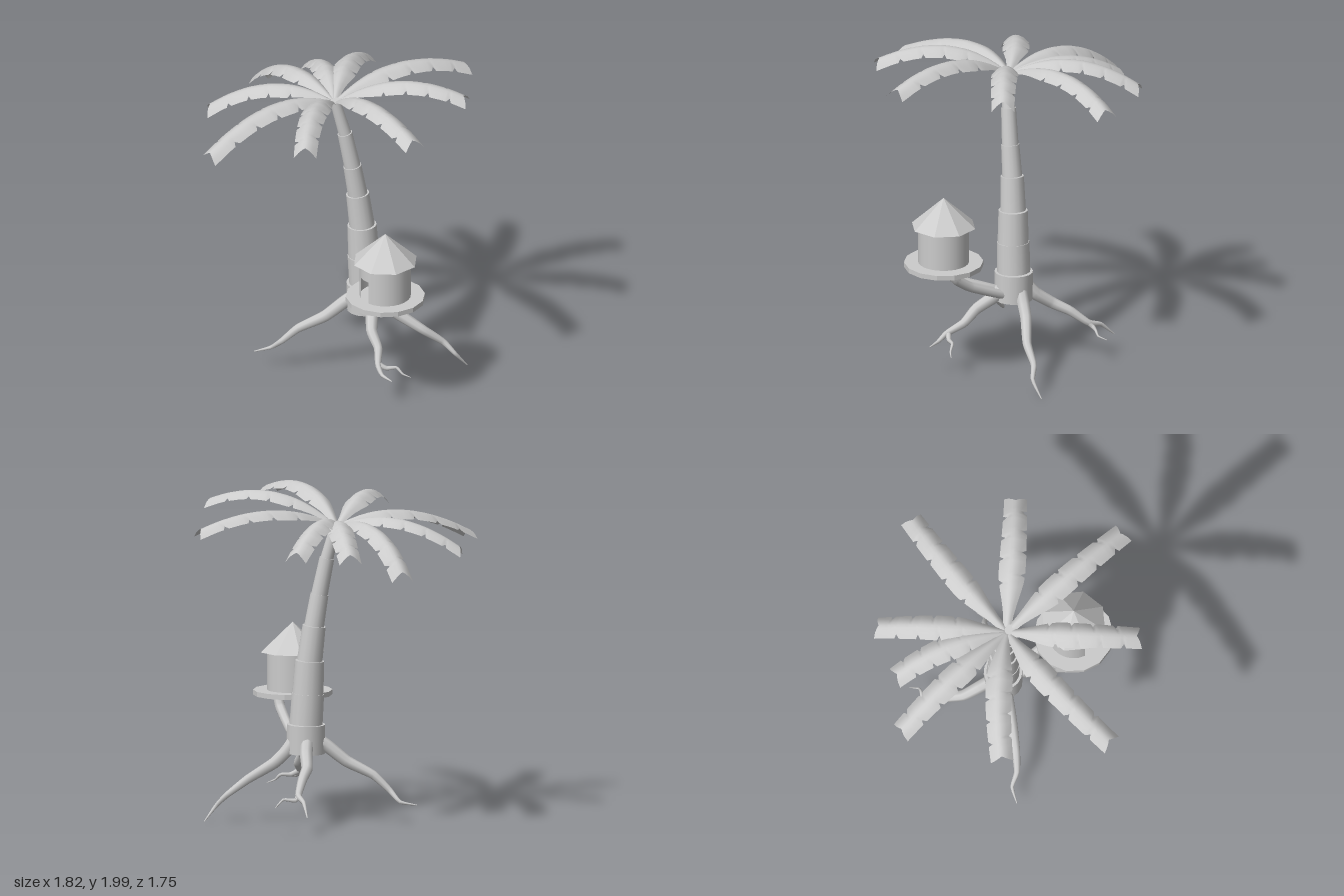
import * as THREE from 'three';

const solid = new THREE.MeshStandardMaterial({ color: 0xcccccc });
const thin = new THREE.MeshStandardMaterial({ color: 0xcccccc, side: THREE.DoubleSide });
const faceted = new THREE.MeshStandardMaterial({ color: 0xcccccc, flatShading: true });
const vec = (p) => new THREE.Vector3(...p);

function add(parent, name, geometry, material = solid) {
  const mesh = new THREE.Mesh(geometry, material);
  mesh.name = name;
  parent.add(mesh);
  return mesh;
}

// Cylinder running from point a to point b
function addSegment(parent, name, a, b, ra, rb) {
  const from = vec(a), to = vec(b), dir = to.clone().sub(from);
  const mesh = add(parent, name, new THREE.CylinderGeometry(rb, ra, dir.length(), 16));
  mesh.position.copy(from).add(to).multiplyScalar(0.5);
  mesh.quaternion.setFromUnitVectors(new THREE.Vector3(0, 1, 0), dir.normalize());
}

// Tube along points whose radius goes from r0 to r1
function taperedTube(points, r0, r1, bend = 1) {
  const curve = new THREE.CatmullRomCurve3(points.map(vec), false, 'catmullrom', 0.25);
  const rings = points.length * 4, sides = 8;
  const geometry = new THREE.TubeGeometry(curve, rings, r0, sides);
  const pos = geometry.attributes.position, v = new THREE.Vector3();
  for (let i = 0; i < pos.count; i++) {
    const u = Math.floor(i / (sides + 1)) / rings;
    const center = curve.getPointAt(u);
    const r = THREE.MathUtils.lerp(r0, r1, u ** bend);
    v.fromBufferAttribute(pos, i).sub(center).multiplyScalar(r / r0).add(center);
    pos.setXYZ(i, v.x, v.y, v.z);
  }
  return geometry;
}

// Arched leaf blade with notched edges and a forked tip
function frondGeometry(start, mid, end) {
  const a = vec(start), m = vec(mid), b = vec(end);
  const control = m.clone().multiplyScalar(2).addScaledVector(a, -0.5).addScaledVector(b, -0.5);
  const curve = new THREE.QuadraticBezierCurve3(a, control, b);
  const notches = { '-1': [0.31, 0.5, 0.67, 0.84], '1': [0.38, 0.56, 0.73, 0.89] };
  const stations = [0, 0.08, 0.16, 0.24, 1];
  for (const t of [...notches[-1], ...notches[1]]) stations.push(t - 0.018, t, t + 0.018);
  stations.sort((p, q) => p - q);

  const halfWidth = (t, side) => {
    const base = 0.025 + 0.055 * THREE.MathUtils.smoothstep(t, 0, 0.4) - 0.012 * Math.max(0, t - 0.5) * 2;
    const near = notches[side].some((n) => Math.abs(n - t) < 0.004);
    return near ? base * 0.68 : base;
  };
  const across = [-1, -0.6, -0.25, 0, 0.25, 0.6, 1];
  const n = across.length, positions = [], index = [];
  stations.forEach((t, row) => {
    const p = curve.getPoint(t), forward = curve.getTangent(t);
    const side = new THREE.Vector3(-forward.z, 0, forward.x).normalize();
    const up = new THREE.Vector3().crossVectors(side, forward);
    if (up.y < 0) up.negate();
    across.forEach((u, col) => {
      const w = halfWidth(t, u < 0 ? -1 : 1);
      const v = p.clone().addScaledVector(side, u * w).addScaledVector(up, -0.6 * w * u * u);
      if (t === 1) v.addScaledVector(forward, 0.045 * (Math.abs(u) - 0.7));
      positions.push(v.x, v.y, v.z);
      if (row && col) {
        const k = row * n + col;
        index.push(k - n - 1, k - n, k, k - n - 1, k, k - 1);
      }
    });
  });
  const geometry = new THREE.BufferGeometry();
  geometry.setAttribute('position', new THREE.Float32BufferAttribute(positions, 3));
  geometry.setIndex(index);
  geometry.computeVertexNormals();
  return geometry;
}

function createTrunk() {
  const trunk = new THREE.Group();
  trunk.name = 'trunk';
  // Centre, bottom radius and top radius of each stacked ring
  const rings = [
    [[0.168, 0.42, 0.04], 0.116, 0.116],
    [[0.166, 0.595, 0.037], 0.1, 0.098],
    [[0.155, 0.78, 0.035], 0.094, 0.088],
    [[0.145, 0.98, 0.03], 0.077, 0.07],
    [[0.12, 1.19, 0.022], 0.06, 0.055],
    [[0.088, 1.38, 0.018], 0.05, 0.045],
    [[0.045, 1.6, 0.006], 0.039, 0.032],
    [[-0.012, 1.82, -0.01], 0, 0],
  ];
  for (let i = 0; i < rings.length - 1; i++) {
    addSegment(trunk, 'trunkRing', rings[i][0], rings[i + 1][0], rings[i][1], rings[i][2]);
  }
  return trunk;
}

function createRoots() {
  const roots = new THREE.Group();
  roots.name = 'roots';
  const main = [
    [[0.1, 0.5, 0.01], [0.04, 0.46, 0], [-0.07, 0.37, -0.03], [-0.22, 0.29, -0.08], [-0.31, 0.2, -0.12], [-0.36, 0.135, -0.18], [-0.46, 0.115, -0.2]],
    [[0.24, 0.5, 0.03], [0.29, 0.43, 0.04], [0.36, 0.36, 0.06], [0.5, 0.26, 0.13], [0.62, 0.17, 0.15], [0.68, 0.1, 0.19], [0.76, 0.005, 0.175]],
    [[0.18, 0.5, -0.04], [0.2, 0.43, -0.1], [0.22, 0.36, -0.2], [0.27, 0.31, -0.29], [0.32, 0.23, -0.39], [0.31, 0.2, -0.48], [0.31, 0.12, -0.57]],
    [[0.16, 0.5, 0.12], [0.16, 0.45, 0.17], [0.125, 0.38, 0.27], [0.135, 0.31, 0.36], [0.1, 0.25, 0.46], [0.105, 0.21, 0.52], [0.14, 0.2, 0.6]],
  ];
  for (const points of main) add(roots, 'root', taperedTube(points, 0.04, 0.003, 1.6));
  // Thin side shoots
  const shoots = [
    [[0.31, 0.25, -0.37], [0.34, 0.205, -0.41], [0.41, 0.21, -0.39], [0.44, 0.185, -0.39], [0.475, 0.165, -0.43]],
    [[0.105, 0.25, 0.45], [0.15, 0.225, 0.47], [0.21, 0.225, 0.48], [0.24, 0.19, 0.51], [0.285, 0.17, 0.53]],
  ];
  for (const points of shoots) add(roots, 'rootShoot', taperedTube(points, 0.018, 0.002));
  return roots;
}

function createCrown() {
  const crown = new THREE.Group();
  crown.name = 'crown';
  // Middle and tip of each frond
  const fronds = [
    [[-0.13, 1.84, -0.48], [-0.21, 1.61, -0.87]],
    [[0.06, 1.86, -0.4], [0.085, 1.71, -0.75]],
    [[0.19, 1.88, -0.38], [0.42, 1.73, -0.7]],
    [[0.44, 1.925, -0.15], [0.9, 1.825, -0.2]],
    [[0.33, 1.985, 0.19], [0.69, 1.92, 0.4]],
    [[0.07, 1.985, 0.4], [0.195, 1.92, 0.87]],
    [[-0.24, 1.95, 0.28], [-0.43, 1.865, 0.66]],
    [[-0.43, 1.87, 0.04], [-0.9, 1.7, 0.215]],
    [[-0.34, 1.86, -0.26], [-0.69, 1.69, -0.42]],
  ];
  for (const [mid, tip] of fronds) {
    const reach = Math.hypot(tip[0], tip[2] + 0.03);
    const start = [-0.01 + 0.02 * tip[0] / reach, 1.81, -0.03 + 0.02 * tip[2] / reach];
    add(crown, 'frond', frondGeometry(start, mid, tip), thin);
  }
  return crown;
}

function createTreehouse() {
  const house = new THREE.Group();
  house.name = 'treehouse';
  house.position.set(0.133, 0, 0.498);
  add(house, 'platform', new THREE.CylinderGeometry(0.238, 0.238, 0.03, 14), faceted).position.y = 0.72;
  // Round wall left open for the doorway, with a lintel above it
  const deg = Math.PI / 180, doorStart = 268 * deg, doorWidth = 32 * deg;
  add(house, 'wall', new THREE.CylinderGeometry(0.153, 0.153, 0.235, 22, 1, true,
    doorStart + doorWidth, 2 * Math.PI - doorWidth), thin).position.y = 0.8475;
  add(house, 'lintel', new THREE.CylinderGeometry(0.153, 0.153, 0.09, 2, 1, true,
    doorStart, doorWidth), thin).position.y = 0.92;
  add(house, 'roof', new THREE.ConeGeometry(0.197, 0.18, 8), faceted).position.y = 1.055;
  return house;
}

export function createModel() {
  const model = new THREE.Group();
  model.name = 'palmTreehouse';
  model.add(createTrunk(), createRoots(), createCrown(), createTreehouse());

  // Curved limbs holding up the platform
  const limbs = [
    [[0.15, 0.47, 0.1], [0.135, 0.51, 0.2], [0.1, 0.57, 0.36], [0.065, 0.64, 0.46], [0.05, 0.715, 0.5]],
    [[0.2, 0.46, 0.1], [0.205, 0.5, 0.2], [0.21, 0.57, 0.36], [0.22, 0.64, 0.46], [0.225, 0.715, 0.5]],
  ];
  for (const points of limbs) add(model, 'supportLimb', taperedTube(points, 0.027, 0.032));
  return model;
}
